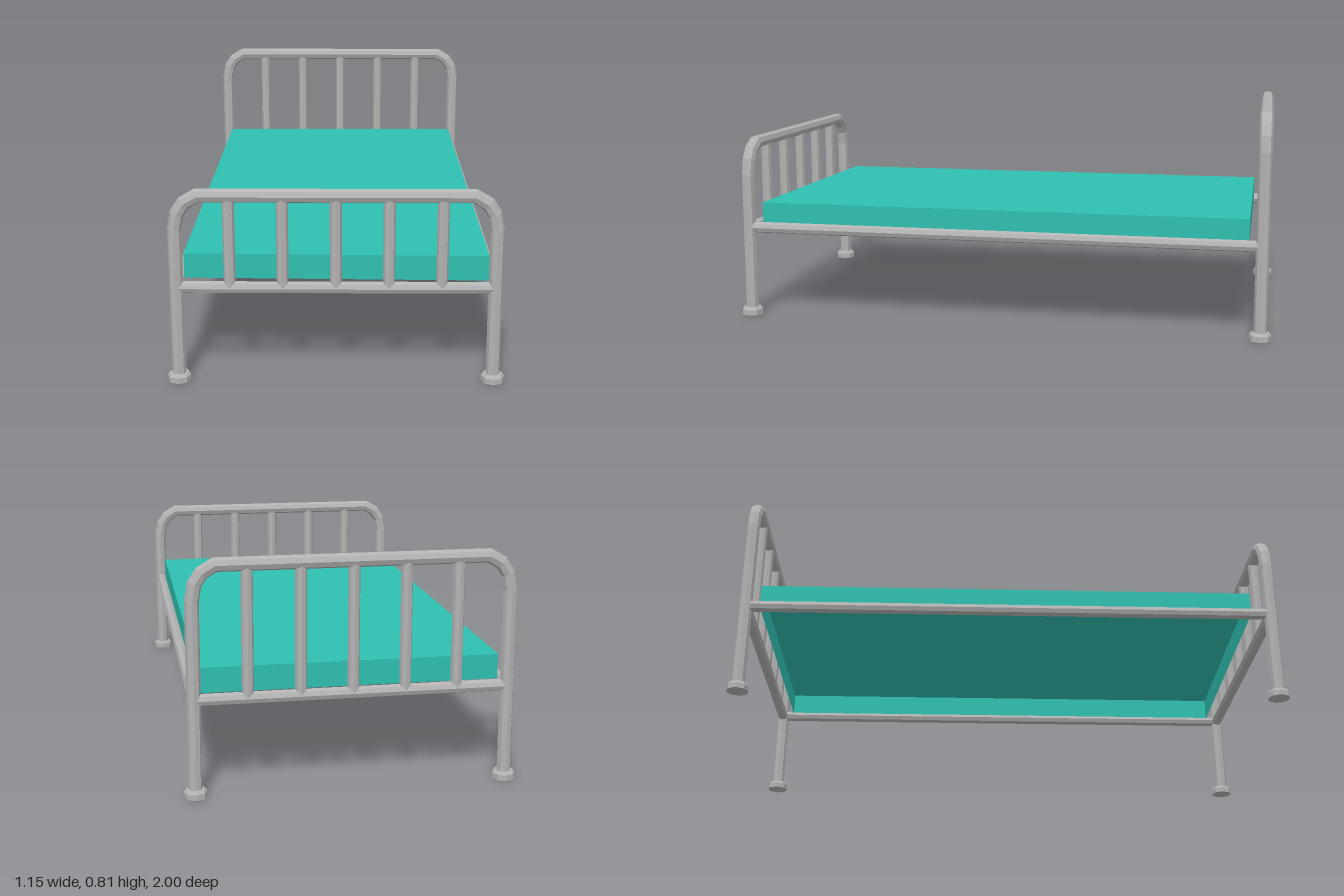
import * as THREE from 'three';

const SIDES = 8;
const POST_X = 0.533, END_Z = 0.96, RAIL_Y = 0.336;

// Eight-sided tube along a path in the xy plane, mitred at each corner
function mitredTube(points, radius) {
  const pos = [], idx = [];
  const pts = points.map(([x, y]) => new THREE.Vector2(x, y));
  pts.forEach((p, i) => {
    const before = pts[Math.max(i - 1, 0)], after = pts[Math.min(i + 1, pts.length - 1)];
    const tIn = (i ? p.clone().sub(before) : after.clone().sub(p)).normalize();
    const tOut = (i < pts.length - 1 ? after.clone().sub(p) : tIn.clone()).normalize();
    const t = tIn.clone().add(tOut).normalize();
    const stretch = radius / t.dot(tIn);
    for (let j = 0; j < SIDES; j++) {
      const a = (j / SIDES) * Math.PI * 2, n = Math.cos(a) * stretch;
      pos.push(p.x - t.y * n, p.y + t.x * n, Math.sin(a) * radius);
      if (i < pts.length - 1) {
        const k = (j + 1) % SIDES, b = i * SIDES, c = b + SIDES;
        idx.push(b + j, b + k, c + j, b + k, c + k, c + j);
      }
    }
  });
  const geo = new THREE.BufferGeometry();
  geo.setAttribute('position', new THREE.Float32BufferAttribute(pos, 3));
  geo.setIndex(idx);
  geo.computeVertexNormals();
  return geo;
}

export function createModel() {
  const bed = new THREE.Group();
  bed.name = 'bed';
  const steel = new THREE.MeshStandardMaterial({ color: 0xb3b3b3, flatShading: true });
  steel.name = 'grey steel';
  const teal = new THREE.MeshStandardMaterial({ color: 0x2fbfb0, flatShading: true, side: THREE.DoubleSide });
  teal.name = 'teal fabric';

  const add = (parent, name, geo, mat, x = 0, y = 0, z = 0) => {
    const mesh = new THREE.Mesh(geo, mat);
    mesh.name = name;
    mesh.position.set(x, y, z);
    parent.add(mesh);
    return mesh;
  };

  // Flared foot cap
  const footGeo = new THREE.LatheGeometry([
    [0, 0], [0.04, 0], [0.04, 0.02], [0.033, 0.029], [0, 0.029],
  ].map(([x, y]) => new THREE.Vector2(x, y)), SIDES);

  // Bent frame with cross rail, spindles and feet
  function endFrame(name, z, top) {
    const end = new THREE.Group();
    end.name = name;
    end.position.z = z;
    bed.add(end);

    const half = [
      [POST_X, 0.01], [POST_X, top - 0.117], [0.523, top - 0.062],
      [0.5, top - 0.026], [0.456, top],
    ];
    const path = [...half, ...half.map(([x, y]) => [-x, y]).reverse()];
    add(end, 'bentFrame', mitredTube(path, 0.024), steel);
    add(end, 'crossRail', mitredTube([[POST_X, RAIL_Y], [-POST_X, RAIL_Y]], 0.021), steel);

    const length = top - RAIL_Y;
    for (let i = -2; i <= 2; i++) {
      add(end, 'spindle', new THREE.CylinderGeometry(0.02, 0.02, length, SIDES, 1, true),
        steel, i * 0.177, RAIL_Y + length / 2, 0);
    }
    for (const s of [-1, 1]) add(end, 'foot', footGeo, steel, s * POST_X, 0, 0);
  }
  endFrame('headboard', -END_Z, 0.786);
  endFrame('footboard', END_Z, 0.655);

  // Side rails
  for (const s of [-1, 1]) {
    const rail = add(bed, s > 0 ? 'leftSideRail' : 'rightSideRail',
      new THREE.CylinderGeometry(0.021, 0.021, END_Z * 2, SIDES, 1, true),
      steel, s * 0.531, RAIL_Y + 0.002, 0);
    rail.rotation.x = Math.PI / 2;
  }

  // Mattress shell, open underneath, its front edge slightly askew
  const mattress = new THREE.BoxGeometry(1.03, 0.087, 1.826);
  const p = mattress.attributes.position;
  for (let i = 0; i < p.count; i++) {
    if (p.getX(i) < 0 && p.getZ(i) > 0) p.setZ(i, p.getZ(i) - 0.02);
  }
  const faces = Array.from(mattress.index.array);
  faces.splice(18, 6);
  mattress.setIndex(faces);
  mattress.clearGroups();
  mattress.computeVertexNormals();
  add(bed, 'mattress', mattress, teal, 0, 0.388, 0);

  return bed;
}
